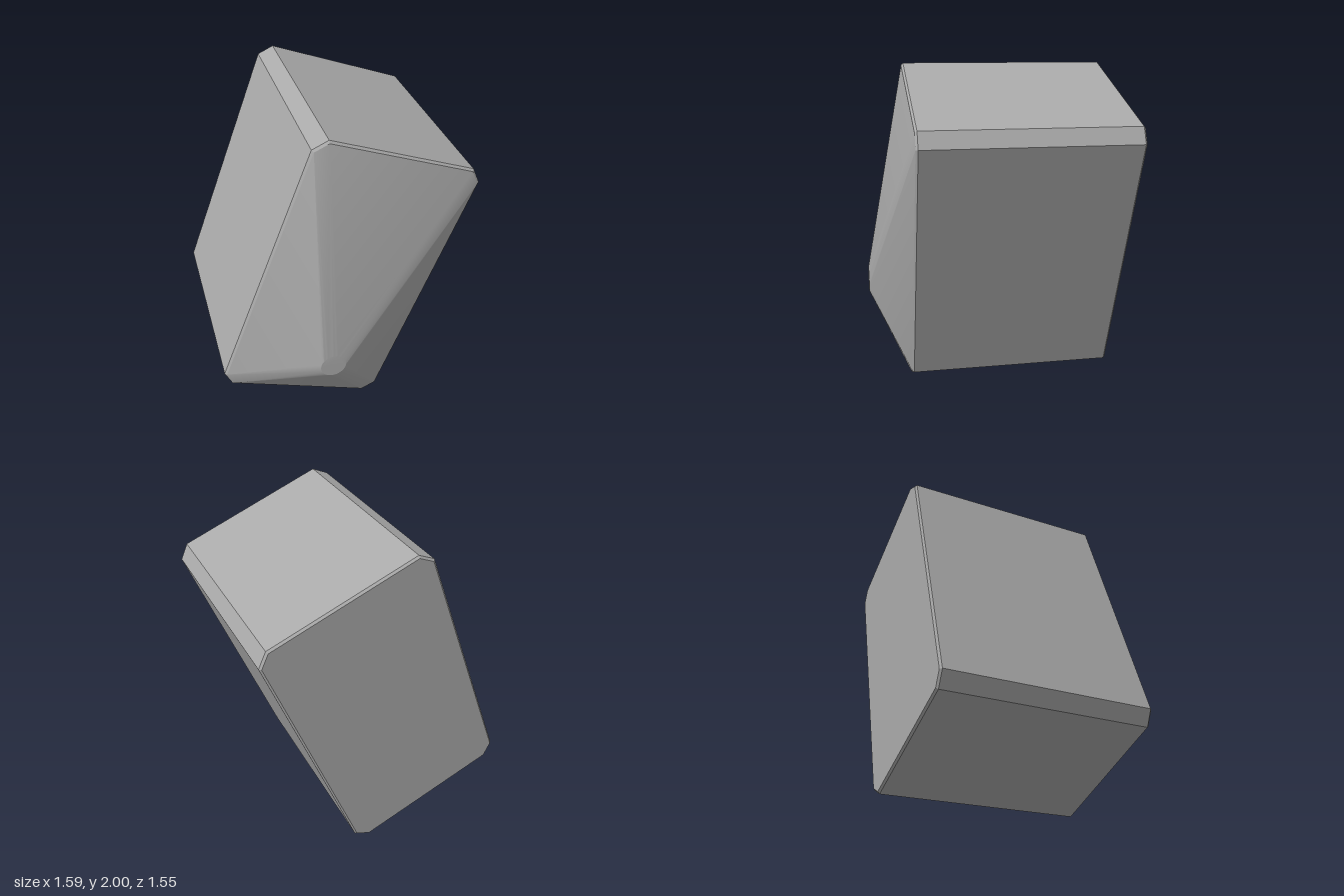
import * as THREE from 'three';
import { ConvexGeometry } from 'three/addons/geometries/ConvexGeometry.js';
import { toCreasedNormals } from 'three/addons/utils/BufferGeometryUtils.js';

const TILT = THREE.MathUtils.degToRad(-20.8);
const WIDTH = 1.085, HEIGHT = 1.785, CHAMFER = 0.076;

// Rectangle with chamfered corners, inset and tilted, at depth z
function octagon(inset, z) {
  const a = WIDTH / 2 - inset, b = HEIGHT / 2 - inset, c = CHAMFER - inset * 0.59;
  const points = [];
  for (const sx of [-1, 1]) {
    for (const sy of [-1, 1]) {
      for (const [x, y] of [[a, b - c], [a - c, b]]) {
        points.push(new THREE.Vector3(sx * x, sy * y, z)
          .applyAxisAngle(new THREE.Vector3(0, 0, 1), TILT)
          .add(new THREE.Vector3(0, 1, 0)));
      }
    }
  }
  return points;
}

// Small round tip, off centre
function tipCircle(x, y, z, radius, segments) {
  return Array.from({ length: segments }, (_, i) => {
    const t = TILT + (i / segments) * Math.PI * 2;
    return new THREE.Vector3(x + radius * Math.cos(t), y + radius * Math.sin(t), z);
  });
}

export function createModel() {
  const group = new THREE.Group();
  group.name = 'facetedBlock';

  const stone = new THREE.MeshStandardMaterial({ color: 0xaaaaaa });
  stone.name = 'plain grey';

  // Chamfered prism with bevelled rims, its front drawn out to the tip
  const hull = new ConvexGeometry([
    ...octagon(0.012, -0.775),
    ...octagon(0, -0.763),
    ...octagon(0, 0.515),
    ...octagon(0.013, 0.528),
    ...tipCircle(-0.162, 0.575, 0.775, 0.08, 40),
  ]);

  const block = new THREE.Mesh(toCreasedNormals(hull, 0.3), stone);
  block.name = 'block';
  group.add(block);
  return group;
}
